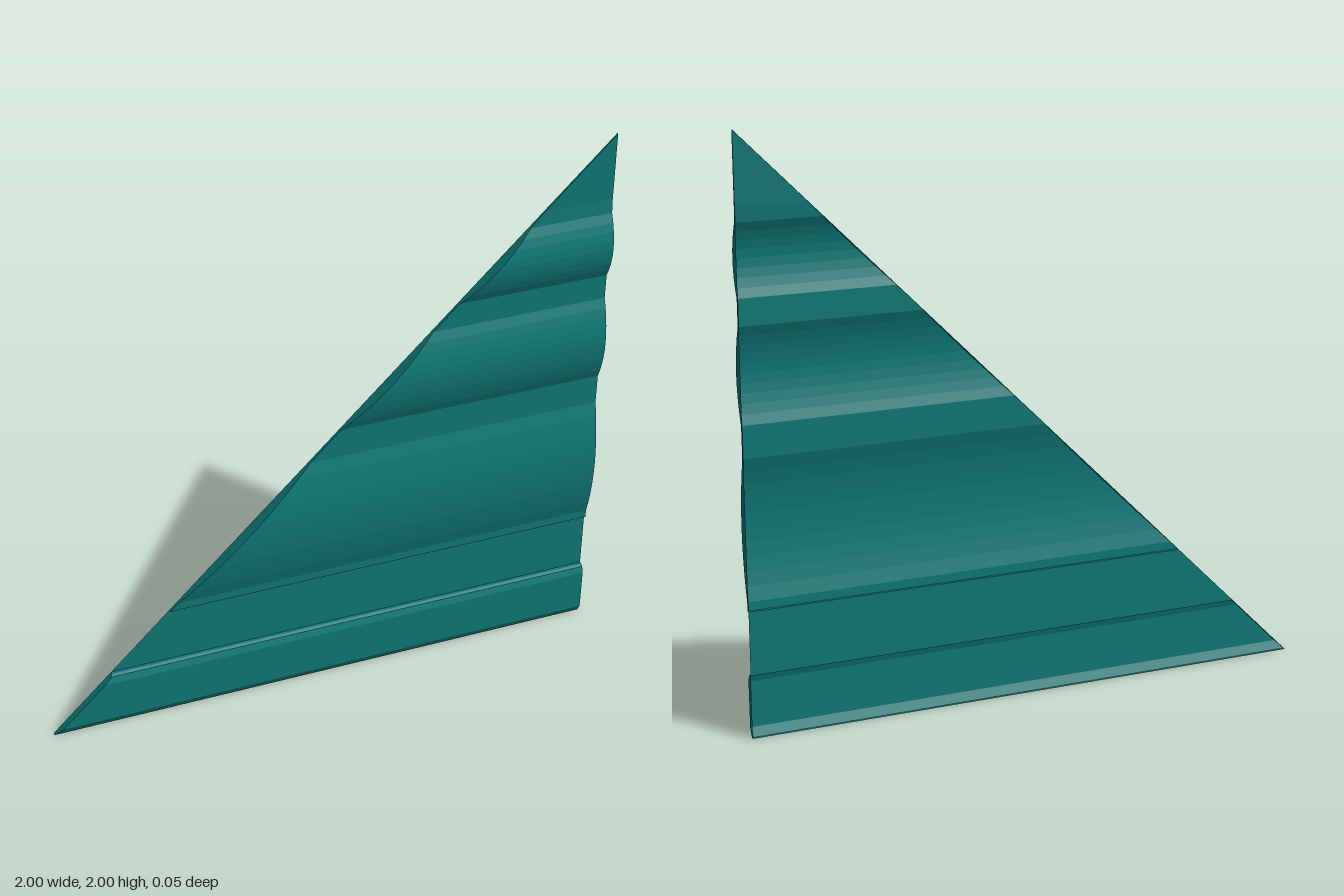
import * as THREE from 'three';

const BACK = -0.023;   // plane of the open back
const VALLEY = -0.012; // depth between the bulges

// Triangular sheet following a [y, z] profile, cut on the diagonal x = y - 1,
// with thin end walls running back to the rear plane.
function sheet(name, profile, material) {
  const pos = [];
  const quad = (a, b, c, d) => pos.push(...a, ...b, ...c, ...a, ...c, ...d);
  for (let i = 0; i < profile.length - 1; i++) {
    const [y0, z0] = profile[i], [y1, z1] = profile[i + 1];
    const l0 = y0 - 1, l1 = y1 - 1;
    // front surface
    quad([l0, y0, z0], [1, y0, z0], [1, y1, z1], [l1, y1, z1]);
    if (y1 === y0 || (z0 === BACK && z1 === BACK)) continue;
    // upright end wall and diagonal end wall
    quad([1, y0, z0], [1, y0, BACK], [1, y1, BACK], [1, y1, z1]);
    quad([l0, y0, BACK], [l0, y0, z0], [l1, y1, z1], [l1, y1, BACK]);
  }
  const geo = new THREE.BufferGeometry();
  geo.setAttribute('position', new THREE.Float32BufferAttribute(pos, 3));
  geo.computeVertexNormals();
  const mesh = new THREE.Mesh(geo, material);
  mesh.name = name;
  return mesh;
}

// Points of one rounded bulge between two heights
function bulge(y0, y1, peak, steps = 10) {
  const pts = [];
  for (let i = 0; i <= steps; i++) {
    const t = i / steps;
    const s = Math.pow(Math.sin(Math.PI * t), 0.85);
    pts.push([y0 + (y1 - y0) * t, VALLEY + (peak - VALLEY) * (i === steps ? 0 : s)]);
  }
  return pts;
}

export function createModel() {
  const group = new THREE.Group();
  group.name = 'triangularPanel';
  const teal = new THREE.MeshStandardMaterial({ color: 0x0f7a78, side: THREE.DoubleSide, flatShading: true });
  teal.name = 'teal';

  // Raised bottom band with bevelled edges
  group.add(sheet('bottomBand', [
    [0, BACK], [0, -0.012], [0.03, 0.004], [0.19, 0.005], [0.215, -0.003], [0.22, -0.012], [0.22, BACK],
  ], teal));

  // Flat strip
  group.add(sheet('flatStrip', [[0.22, BACK], [0.44, BACK]], teal));

  // Wavy upper part with three bulges
  group.add(sheet('wavyPanel', [
    [0.44, BACK], [0.44, VALLEY],
    ...bulge(0.47, 0.95, 0.023),
    ...bulge(1.06, 1.38, 0.023),
    ...bulge(1.47, 1.71, 0.02, 8),
    [1.76, -0.016], [2, -0.018],
  ], teal));

  return group;
}
